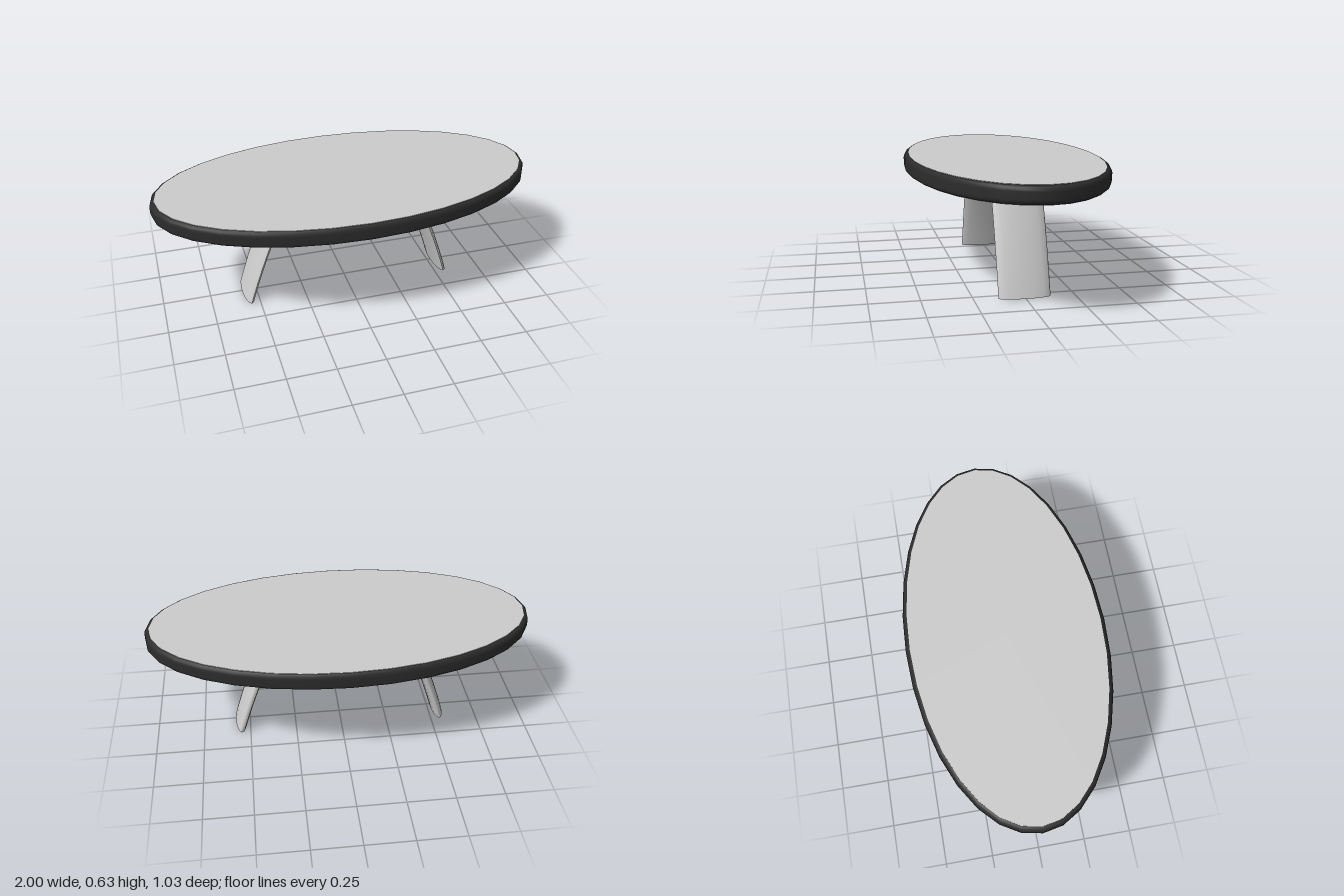
import * as THREE from 'three';

const RX = 1, RZ = 0.513, SIDES = 32;
const BOTTOM = 0.538, TOP = 0.624, ROUND = 0.025;

const grey = new THREE.MeshStandardMaterial({ color: 0xcccccc });
const dark = new THREE.MeshStandardMaterial({ color: 0x2c2c2c });

function addMesh(group, name, geometry, material) {
  const mesh = new THREE.Mesh(geometry, material);
  mesh.name = name;
  group.add(mesh);
}

// Oval band with rounded edges, equally wide all the way round
function rimGeometry() {
  const profile = [];
  const corner = (cy, from) => {
    for (let i = 0; i <= 4; i++) {
      const a = from + (i / 4) * Math.PI / 2;
      profile.push(new THREE.Vector2(RX - ROUND + ROUND * Math.cos(a), cy + ROUND * Math.sin(a)));
    }
  };
  corner(BOTTOM + ROUND, -Math.PI / 2);
  corner(TOP - ROUND, 0);

  const geometry = new THREE.LatheGeometry(profile, SIDES);
  geometry.scale(1, 1, RZ / RX);
  const pos = geometry.attributes.position;
  for (let i = 0; i < pos.count; i++) {
    const x = pos.getX(i), z = pos.getZ(i) * RX / RZ;
    const r = Math.hypot(x, z);
    pos.setZ(i, (z / r) * (r - RX + RZ));
  }
  return geometry;
}

// Flat oval board filling the rim
function boardGeometry() {
  const geometry = new THREE.CylinderGeometry(1, 1, TOP - BOTTOM + 0.004, SIDES);
  geometry.scale(RX - ROUND + 0.002, 1, RZ - ROUND + 0.002);
  return geometry.translate(0, (TOP + BOTTOM) / 2, 0);
}

// Flat oval-section leg that bows outward and spreads towards the floor
function legGeometry(side) {
  const height = BOTTOM + 0.01;
  const geometry = new THREE.CylinderGeometry(1, 1, height, 16, 10);
  geometry.scale(0.031, 1, 0.13).translate(0, height / 2, 0);
  const pos = geometry.attributes.position;
  for (let i = 0; i < pos.count; i++) {
    const t = pos.getY(i) / height;
    pos.setX(i, pos.getX(i) + side * (0.548 - 0.203 * t + 0.042 * t * (1 - t)));
  }
  geometry.computeVertexNormals();
  return geometry;
}

export function createModel() {
  const table = new THREE.Group();
  table.name = 'ovalTable';
  addMesh(table, 'tableTop', boardGeometry(), grey);
  addMesh(table, 'rim', rimGeometry(), dark);
  addMesh(table, 'leftLeg', legGeometry(1), grey);
  addMesh(table, 'rightLeg', legGeometry(-1), grey);
  return table;
}
